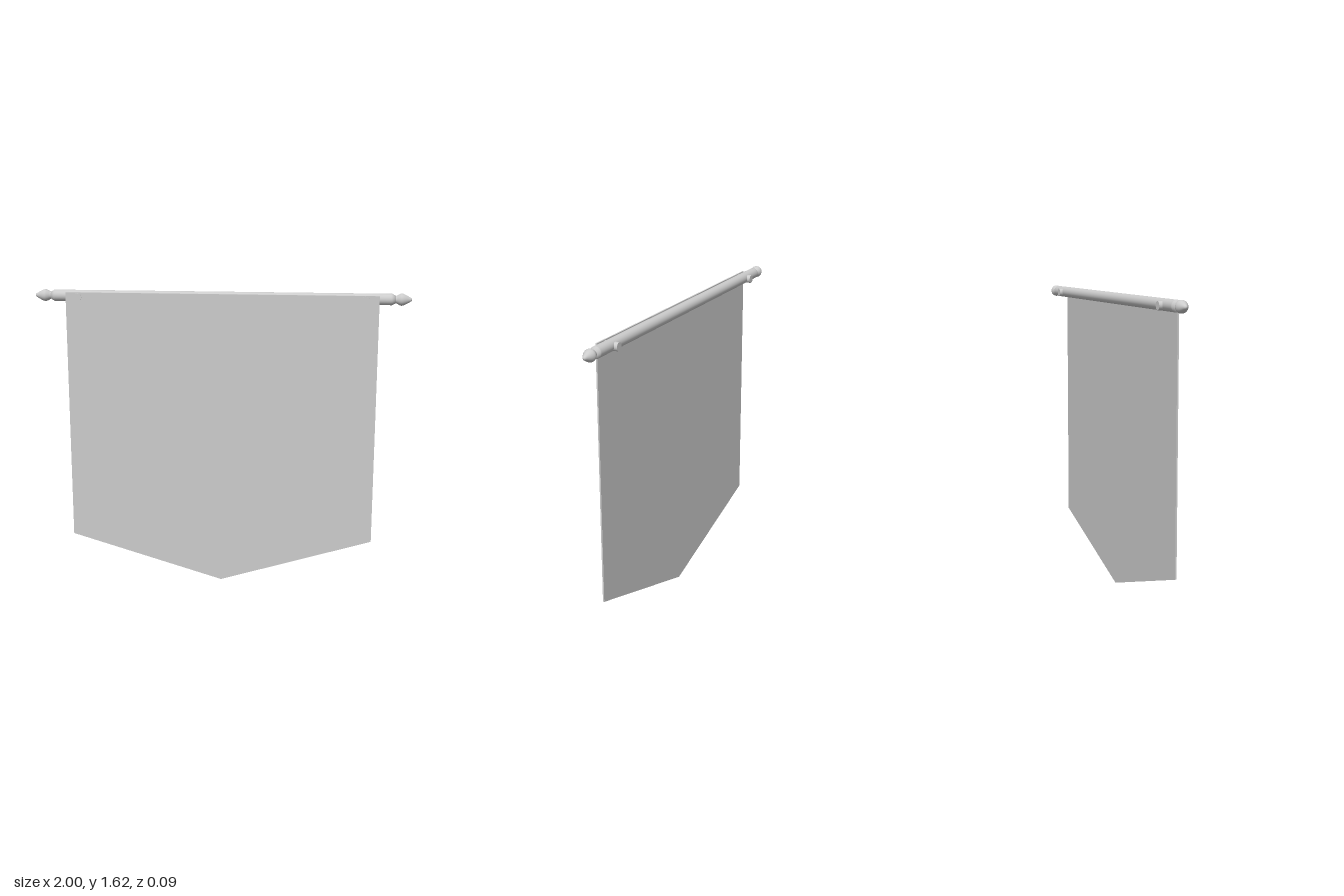
import * as THREE from 'three';

const ROD_Y = 1.59;

export function createModel() {
  const group = new THREE.Group();
  const material = new THREE.MeshStandardMaterial({ color: 0xcccccc });
  const add = (name, geometry, x = 0, y = 0, z = 0) => {
    const mesh = new THREE.Mesh(geometry, material);
    mesh.name = name;
    mesh.position.set(x, y, z);
    group.add(mesh);
    return mesh;
  };

  // Cloth panel with a pointed lower edge, hanging in front of the rod
  const outline = new THREE.Shape([
    [-0.83, 1.612], [-0.83, 0.25], [0, 0], [0.83, 0.25], [0.83, 1.612],
  ].map(([x, y]) => new THREE.Vector2(x, y)));
  add('banner', new THREE.ExtrudeGeometry(outline, { depth: 0.008, bevelEnabled: false }), 0, 0, 0.031);

  // Horizontal rod with slightly rounded ends
  const rodProfile = [[0, -0.915], [0.02, -0.915], [0.03, -0.897], [0.03, -0.89],
    [0.03, 0.89], [0.03, 0.897], [0.02, 0.915], [0, 0.915]]
    .map(([r, y]) => new THREE.Vector2(r, y));
  add('rod', new THREE.LatheGeometry(rodProfile, 32), 0, ROD_Y).rotation.z = -Math.PI / 2;

  // Pointed finials turned from a smooth profile, one at each end
  const finialCurve = new THREE.SplineCurve([
    [0.019, 0.908], [0.02, 0.918], [0.028, 0.933], [0.032, 0.946],
    [0.027, 0.963], [0.016, 0.983], [0.008, 0.996], [0, 1],
  ].map(([r, y]) => new THREE.Vector2(r, y)));
  const finialProfile = finialCurve.getPoints(28).map((p) => p.set(Math.max(p.x, 0), p.y));
  for (const [side, name] of [[1, 'leftFinial'], [-1, 'rightFinial']]) {
    add(name, new THREE.LatheGeometry(finialProfile, 32), 0, ROD_Y).rotation.z = -side * Math.PI / 2;
  }

  // Round pegs pinning the cloth through the rod
  for (const [x, name] of [[0.757, 'leftPeg'], [-0.767, 'rightPeg']]) {
    add(name, new THREE.CylinderGeometry(0.022, 0.022, 0.092, 24), x, ROD_Y - 0.003).rotation.x = Math.PI / 2;
  }

  return group;
}
